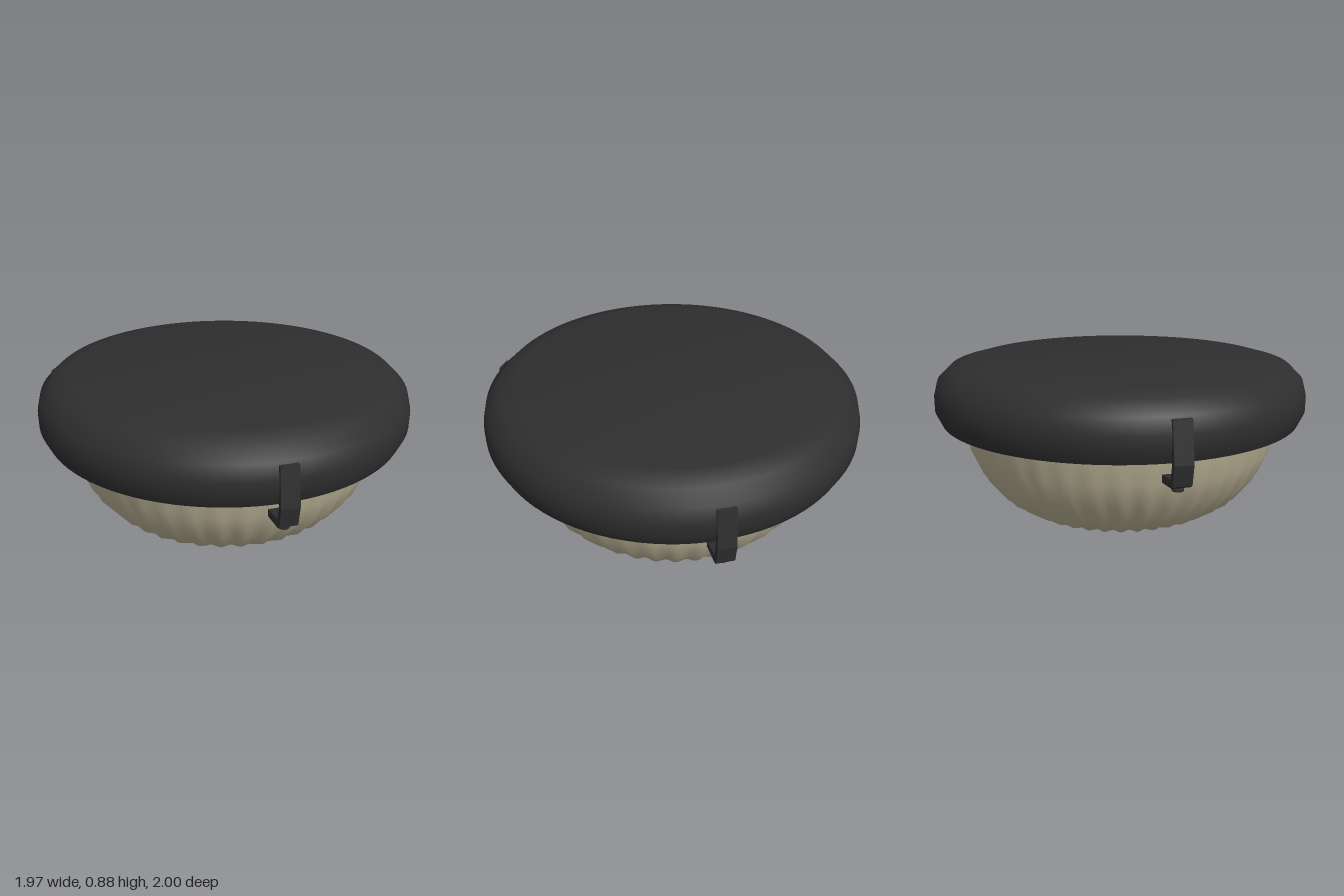
import * as THREE from 'three';
import { mergeVertices, toCreasedNormals } from 'three/addons/utils/BufferGeometryUtils.js';

const CENTER_Z = -0.015;
const RIBS = 40;
const vec = (pts) => pts.map(([x, y]) => new THREE.Vector2(x, y));

// Bowl of revolution, with flutes that fade out toward the rim and the pole
function flutedBowl() {
  const profile = vec([[0, 0.01], [0.1, 0.012], [0.2, 0.018], [0.37, 0.045], [0.53, 0.1], [0.66, 0.185],
    [0.76, 0.31], [0.82, 0.45], [0.838, 0.6]]);
  let geo = new THREE.LatheGeometry(profile, RIBS * 6);
  const pos = geo.attributes.position;
  const v = new THREE.Vector3();
  for (let i = 0; i < pos.count; i++) {
    v.fromBufferAttribute(pos, i);
    const r = Math.hypot(v.x, v.z);
    const fade = Math.min(1, r / 0.4) * THREE.MathUtils.clamp((0.56 - v.y) / 0.4, 0, 1);
    const k = 1 - 0.02 * fade * (0.5 - 0.5 * Math.cos(RIBS * Math.atan2(v.x, v.z)));
    pos.setXYZ(i, v.x * k, 0.6 + (v.y - 0.6) * k, v.z * k);
  }
  geo.deleteAttribute('uv');
  geo.deleteAttribute('normal');
  geo = mergeVertices(geo, 1e-5);
  geo.computeVertexNormals();
  return geo;
}

export function createModel() {
  const black = new THREE.MeshStandardMaterial({ color: 0x2e2e2e });
  black.name = 'black metal';
  const glass = new THREE.MeshStandardMaterial({ color: 0xb8b094, side: THREE.DoubleSide });
  glass.name = 'beige glass';

  const lamp = new THREE.Group();
  lamp.name = 'ceilingLamp';
  lamp.position.z = CENTER_Z;
  const add = (parent, name, geo, mat) => {
    const mesh = new THREE.Mesh(geo, mat);
    mesh.name = name;
    parent.add(mesh);
    return mesh;
  };

  // Round housing with a small lip around the bowl
  const housing = new THREE.LatheGeometry(vec([[0.8, 0.6], [0.825, 0.578], [0.86, 0.578], [0.875, 0.595],
    [0.955, 0.595], [0.985, 0.66], [0.985, 0.73], [0.965, 0.805], [0.9, 0.868], [0.8, 0.895], [0, 0.895]]), 96);
  add(lamp, 'housing', toCreasedNormals(housing, 0.65), black);

  add(lamp, 'bowl', flutedBowl(), glass);

  // Bent clip, drawn as radius against height and extruded to its width
  const clipShape = new THREE.Shape(vec([[0.95, 0.795], [0.985, 0.795], [1.015, 0.6], [0.998, 0.5],
    [0.985, 0.49], [0.855, 0.475], [0.855, 0.512], [0.972, 0.528], [0.985, 0.6], [0.965, 0.7]].reverse()));
  const clipGeo = new THREE.ExtrudeGeometry(clipShape, { depth: 0.09, bevelEnabled: false });
  clipGeo.translate(0, 0, -0.045);
  const screwGeo = new THREE.CylinderGeometry(0.027, 0.027, 0.01, 16);
  const shankGeo = new THREE.CylinderGeometry(0.01, 0.01, 0.04, 8);

  // One clip at the front, two toward the back
  [['frontClip', -90], ['backLeftClip', 30], ['backRightClip', 150]].forEach(([name, deg]) => {
    const clip = new THREE.Group();
    clip.name = name;
    clip.rotation.y = THREE.MathUtils.degToRad(deg);
    add(clip, 'clipStrap', clipGeo, black);
    add(clip, 'screwHead', screwGeo, black).position.set(0.94, 0.468, 0);
    add(clip, 'screwShank', shankGeo, black).position.set(0.94, 0.486, 0);
    lamp.add(clip);
  });

  const model = new THREE.Group();
  model.name = 'model';
  model.add(lamp);
  return model;
}
